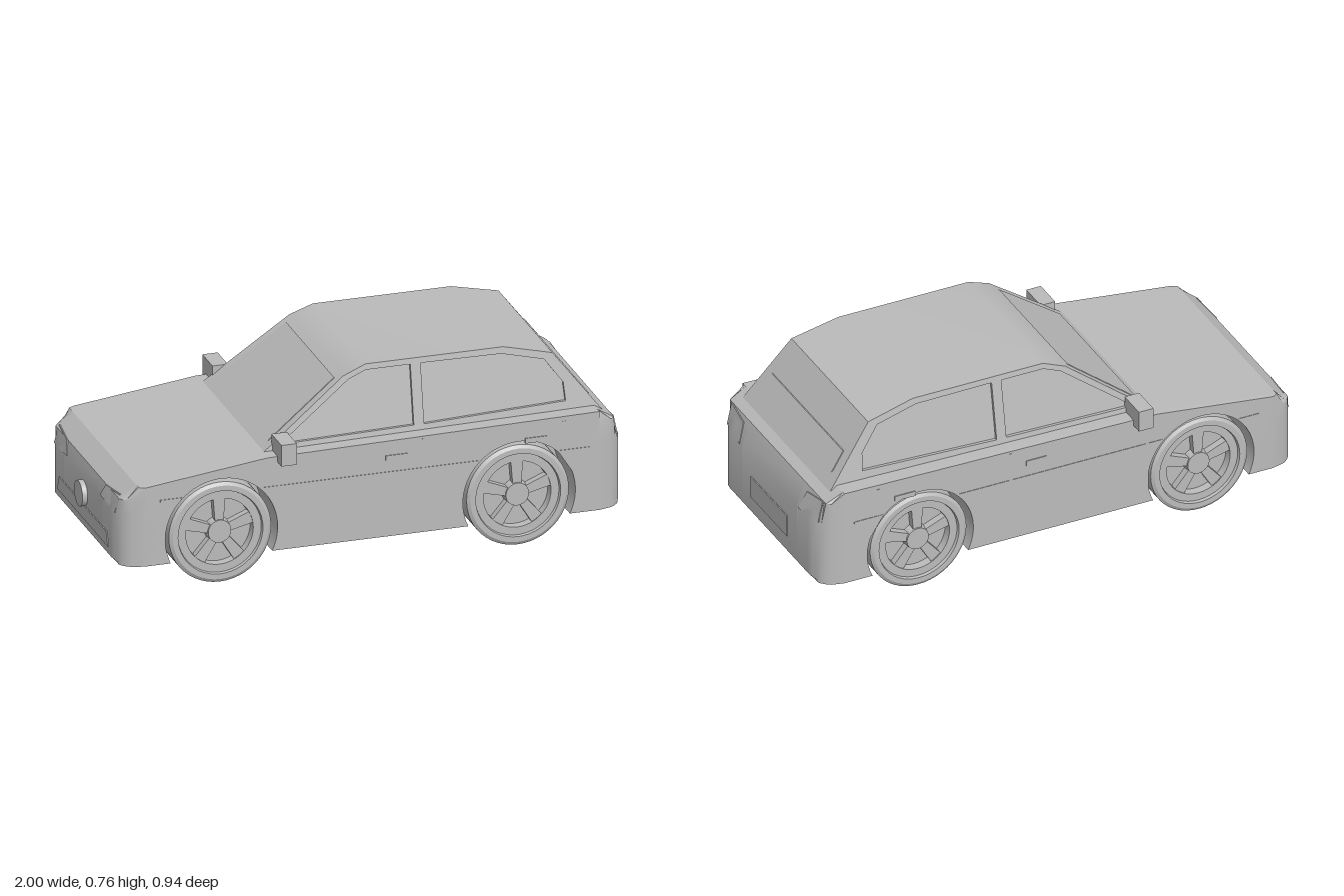
import * as THREE from 'three';
import { toCreasedNormals } from 'three/addons/utils/BufferGeometryUtils.js';

const HALF = 0.425, CORNER = 0.1, WHEELS = [-0.58, 0.585], AXLE = 0.2, ARCH = 0.22, SILL = 0.105;

const polygon = (pts) => new THREE.Shape(pts.map(([x, y]) => new THREE.Vector2(x, y)));

// Moves every vertex by a rule, then restores normals with sharp creases
function reshape(geo, rule) {
  const p = geo.attributes.position, v = new THREE.Vector3();
  for (let i = 0; i < p.count; i++) {
    rule(v.fromBufferAttribute(p, i));
    p.setXYZ(i, v.x, v.y, v.z);
  }
  return toCreasedNormals(geo, 0.45);
}

// Side-view shape extruded from z0 to z1
function slab(shape, z0, z1, steps = 1, rule = () => {}) {
  const geo = new THREE.ExtrudeGeometry(shape, { depth: z1 - z0, steps, bevelEnabled: false, curveSegments: 36 });
  return reshape(geo.translate(0, 0, z0), rule);
}

// How far the rounded plan corner pulls in the ends at a given z
function pull(z) {
  const d = Math.min(CORNER, Math.max(0, Math.abs(z) - (HALF - CORNER)));
  return CORNER - Math.sqrt(CORNER * CORNER - d * d);
}

// Piecewise linear x at height y, for plates lying on the ends
function along(pts) {
  return (y) => {
    for (let i = 1; i < pts.length; i++) {
      const [xa, ya] = pts[i - 1], [xb, yb] = pts[i];
      if (y <= yb) return xa + (xb - xa) * Math.max(0, (y - ya) / (yb - ya));
    }
    return pts[pts.length - 1][0];
  };
}

const NOSE = [[-0.98, 0.12], [-0.98, 0.31], [-0.965, 0.37], [-0.9, 0.42]];
const TAIL = [[1, 0.12], [1, 0.37], [0.965, 0.46], [0.9, 0.5]];
const CABIN = [[-0.4, 0.475], [0.935, 0.475], [0.75, 0.715], [0.56, 0.76], [0.02, 0.76], [-0.07, 0.725]];

// Lower body profile, optionally with wheel arches cut out
function bodyShape(arches) {
  const s = new THREE.Shape();
  s.moveTo(-0.965, SILL);
  if (arches) {
    const a = Math.asin((AXLE - SILL) / ARCH);
    for (const cx of WHEELS) {
      s.lineTo(cx - ARCH * Math.cos(a), SILL);
      s.absarc(cx, AXLE, ARCH, Math.PI + a, -a, true);
    }
  }
  s.lineTo(0.985, SILL);
  TAIL.forEach(([x, y]) => s.lineTo(x, y));
  s.lineTo(-0.4, 0.48);
  [...NOSE].reverse().forEach(([x, y]) => s.lineTo(x, y));
  s.closePath();
  return s;
}

export function createModel() {
  const grey = new THREE.MeshStandardMaterial({ color: 0xbbbbbb });
  grey.name = 'plainGrey';
  const car = new THREE.Group();
  car.name = 'hatchbackCar';

  const add = (name, geo, parent = car) => {
    const m = new THREE.Mesh(geo, grey);
    m.name = name;
    parent.add(m);
    return m;
  };
  const box = (name, w, h, d, x, y, z) => add(name, new THREE.BoxGeometry(w, h, d).translate(x, y, z));

  // Thin plate on the front or back, outlined in (z, y)
  const plate = (name, pts, xAt) => {
    const geo = new THREE.ExtrudeGeometry(polygon(pts.map(([z, y]) => [-z, y])), { depth: 0.008, bevelEnabled: false });
    geo.rotateY(Math.PI / 2);
    add(name, reshape(geo, (v) => { v.x += xAt(v.y, v.z) - 0.004; }));
  };

  // Lower body: solid middle and two sides with wheel wells and rounded ends
  add('bodyCentre', slab(bodyShape(false), -0.23, 0.23));
  const roundEnds = (v) => {
    const p = pull(v.z);
    v.x = Math.max(-0.98 + p, Math.min(1 - p, v.x));
  };
  for (const s of [1, -1]) {
    const [z0, z1] = s > 0 ? [0.23, HALF] : [-HALF, -0.23];
    add('bodySide', slab(bodyShape(true), z0, z1, 16, roundEnds));
  }

  // Cabin core, leaning in toward the roof
  const lean = (v) => { v.z -= Math.sign(v.z) * (v.y - 0.475) * 0.186; };
  add('cabin', slab(polygon(CABIN), -0.353, 0.353, 1, lean));

  // Side frames with window openings
  const windows = [
    [[-0.33, 0.5], [0.195, 0.51], [0.195, 0.738], [0.02, 0.738], [-0.05, 0.71]],
    [[0.235, 0.51], [0.79, 0.53], [0.785, 0.6], [0.715, 0.695], [0.55, 0.735], [0.235, 0.738]],
  ];
  for (const s of [1, -1]) {
    const frame = polygon(CABIN);
    windows.forEach((w) => frame.holes.push(polygon(w)));
    const [z0, z1] = s > 0 ? [0.353, 0.365] : [-0.365, -0.353];
    add('windowFrame', slab(frame, z0, z1, 1, lean));
  }

  // Windscreen and rear window
  plate('windscreen', [[-0.32, 0.505], [0.32, 0.505], [0.285, 0.71], [-0.285, 0.71]],
    along([[-0.4, 0.475], [-0.07, 0.725]]));
  plate('rearWindow', [[-0.31, 0.53], [0.31, 0.53], [0.297, 0.6], [-0.297, 0.6]],
    along([[0.935, 0.475], [0.75, 0.715]]));

  // Plates on the nose and tail
  const nose = along(NOSE), tail = along(TAIL);
  const noseX = (y, z) => Math.max(nose(y), -0.98 + pull(z));
  const tailX = (y, z) => Math.min(tail(y), 1 - pull(z));
  for (const s of [1, -1]) {
    plate('headlight', [[s * 0.2, 0.32], [s * 0.36, 0.31], [s * 0.36, 0.38], [s * 0.23, 0.37]], noseX);
    plate('tailLight', [[s * 0.245, 0.365], [s * 0.38, 0.372], [s * 0.38, 0.46], [s * 0.265, 0.44]], tailX);
  }
  plate('lowerIntake', [[-0.3, 0.15], [0.3, 0.15], [0.28, 0.205], [-0.28, 0.205]], noseX);
  plate('rearNumberPlate', [[-0.15, 0.185], [0.15, 0.185], [0.15, 0.275], [-0.15, 0.275]], tailX);
  add('noseDisc', new THREE.CylinderGeometry(0.05, 0.05, 0.03, 32).rotateZ(Math.PI / 2).translate(-0.985, 0.25, 0));

  // Mirrors, handles and door trim on both sides
  for (const s of [1, -1]) {
    box('doorMirror', 0.06, 0.085, 0.12, -0.33, 0.5, s * 0.41);
    for (const x of [0.105, 0.65]) box('doorHandle', 0.085, 0.02, 0.008, x, 0.42, s * HALF);
    for (const [x, y0, y1] of [[-0.355, 0.18, 0.46], [0.21, 0.18, 0.48], [0.76, 0.365, 0.48]])
      box('doorSeam', 0.012, y1 - y0, 0.004, x, (y0 + y1) / 2, s * HALF);
    for (const [x0, x1] of [[-0.82, -0.735], [-0.42, 0.425], [0.74, 0.86]])
      box('sideTrim', x1 - x0, 0.008, 0.004, (x0 + x1) / 2, 0.36, s * HALF);
  }

  // Wheels: turned tyre and dished rim, hub and five spokes
  const tyreProfile = [[0.001, -0.185], [0.195, -0.185], [0.2, -0.18], [0.2, -0.008], [0.187, 0], [0.166, 0],
    [0.163, -0.012], [0.132, -0.012], [0.13, -0.045], [0.001, -0.045]].map(([r, y]) => new THREE.Vector2(r, y));
  const tyreGeo = toCreasedNormals(new THREE.LatheGeometry(tyreProfile, 48).rotateX(Math.PI / 2), 0.4);
  const hubGeo = new THREE.CylinderGeometry(0.045, 0.05, 0.035, 30).rotateX(Math.PI / 2).translate(0, 0, -0.028);
  const spokeGeo = new THREE.ExtrudeGeometry(
    polygon([[-0.016, 0.03], [0.016, 0.03], [0.024, 0.134], [-0.024, 0.134]]),
    { depth: 0.03, bevelEnabled: false }).translate(0, 0, -0.046);
  for (const x of WHEELS) for (const s of [1, -1]) {
    const wheel = new THREE.Group();
    wheel.name = 'wheel';
    add('tyreAndRim', tyreGeo, wheel);
    add('hub', hubGeo, wheel);
    for (let i = 0; i < 5; i++) add('spoke', spokeGeo, wheel).rotation.z = (i * Math.PI * 2) / 5;
    wheel.position.set(x, AXLE, s * 0.415);
    if (s < 0) wheel.rotation.y = Math.PI;
    car.add(wheel);
  }
  return car;
}
